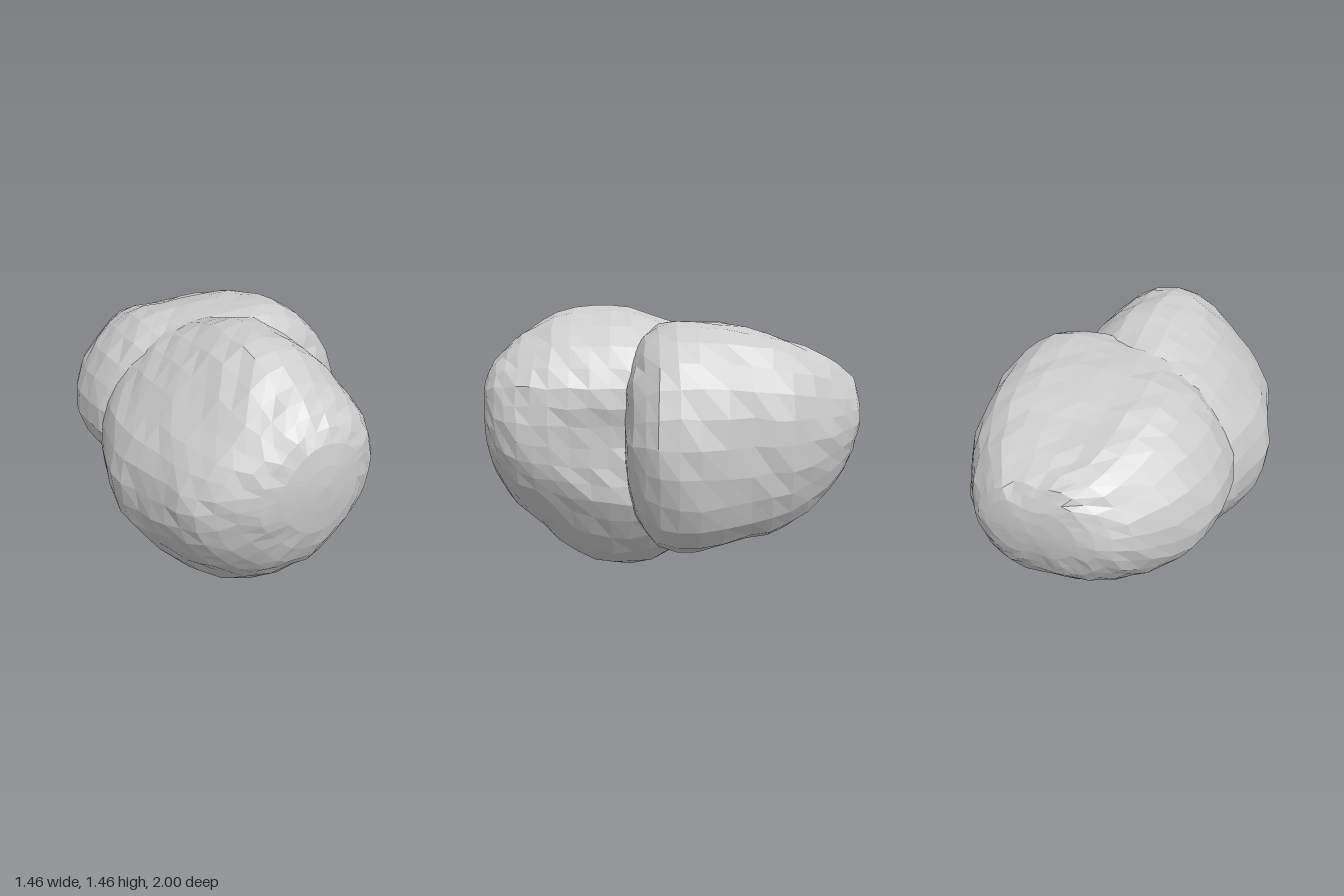
import * as THREE from 'three';

// Double sided, because the lobes are left open where they merge
const material = new THREE.MeshStandardMaterial({
  color: 0xcccccc, flatShading: true, side: THREE.DoubleSide,
});

// Small seeded generator for the uneven facets
function seeded(seed) {
  return () => {
    seed = (seed * 16807) % 2147483647;
    return seed / 2147483647 - 0.5;
  };
}

// Rounded boulder lofted along z.
// Each section: [z, centreX, centreY, radii at 0, 45, 90 ... 315 degrees]
function lobe(name, sections, around, along, seed) {
  const rand = seeded(seed);
  const outlines = sections.map(([z, cx, cy, ...radii]) => {
    const pts = radii.map((r, k) => {
      const a = (k * Math.PI) / 4;
      return new THREE.Vector3(cx + r * Math.cos(a), cy + r * Math.sin(a), z);
    });
    const curve = new THREE.CatmullRomCurve3(pts, true, 'catmullrom', 0.58);
    return Array.from({ length: around }, (_, j) => curve.getPoint(j / around));
  });
  // Smooth lengthwise curve through every column of the outlines
  const columns = outlines[0].map((_, j) =>
    new THREE.CatmullRomCurve3(outlines.map((o) => o[j]), false, 'centripetal'));

  const position = [];
  const index = [];
  for (let i = 0; i <= along; i++) {
    // Facets stay calm towards both tips
    const bump = Math.min(i, along - i) < 3 ? 0 : 0.016;
    for (let j = 0; j < around; j++) {
      const p = columns[j].getPoint(i / along);
      position.push(p.x + rand() * bump, p.y + rand() * bump, p.z + rand() * bump);
    }
  }
  for (let i = 0; i < along; i++) {
    for (let j = 0; j < around; j++) {
      const k = (j + 1) % around;
      const a = i * around + j, b = i * around + k;
      const c = a + around, d = b + around;
      if (i > 0) index.push(a, b, d);
      if (i < along - 1) index.push(a, d, c);
    }
  }
  const geometry = new THREE.BufferGeometry();
  geometry.setAttribute('position', new THREE.Float32BufferAttribute(position, 3));
  geometry.setIndex(index);
  geometry.computeVertexNormals();
  const mesh = new THREE.Mesh(geometry, material);
  mesh.name = name;
  return mesh;
}

// Faces of a mesh that are not buried inside another closed mesh
function exposedFaces(mesh, other) {
  const position = mesh.geometry.attributes.position;
  const direction = new THREE.Vector3(0.31, 0.87, 0.38).normalize();
  const buried = Array.from({ length: position.count }, (_, i) => {
    const origin = new THREE.Vector3().fromBufferAttribute(position, i);
    const hits = new THREE.Raycaster(origin, direction).intersectObject(other);
    return hits.length % 2 === 1;
  });
  const index = mesh.geometry.index.array;
  const kept = [];
  for (let i = 0; i < index.length; i += 3) {
    const face = [index[i], index[i + 1], index[i + 2]];
    if (!face.every((v) => buried[v])) kept.push(...face);
  }
  return kept;
}

export function createModel() {
  // Broad rear lobe, bulging and sagging towards +x where it meets the crevice
  const rear = lobe('rearLobe', [
    [-1.0, 0.06, 0.88, 0, 0, 0, 0, 0, 0, 0, 0],
    [-0.985, 0.06, 0.88, 0.25, 0.21, 0.13, 0.19, 0.23, 0.17, 0.12, 0.19],
    [-0.93, 0.04, 0.86, 0.35, 0.33, 0.25, 0.32, 0.37, 0.29, 0.25, 0.33],
    [-0.8, 0.02, 0.82, 0.48, 0.48, 0.38, 0.45, 0.49, 0.4, 0.37, 0.47],
    [-0.6, 0.02, 0.8, 0.59, 0.6, 0.47, 0.57, 0.63, 0.51, 0.45, 0.61],
    [-0.4, 0.02, 0.8, 0.63, 0.66, 0.54, 0.63, 0.68, 0.54, 0.5, 0.68],
    [-0.15, 0.02, 0.8, 0.7, 0.69, 0.57, 0.63, 0.66, 0.52, 0.54, 0.75],
    [0.05, 0.02, 0.8, 0.7, 0.66, 0.55, 0.54, 0.56, 0.46, 0.52, 0.72],
    [0.17, 0.04, 0.8, 0.57, 0.52, 0.42, 0.4, 0.45, 0.35, 0.38, 0.54],
    [0.22, 0.06, 0.8, 0.36, 0.32, 0.28, 0.25, 0.25, 0.24, 0.24, 0.32],
    [0.23, 0.08, 0.8, 0, 0, 0, 0, 0, 0, 0, 0],
  ], 32, 20, 17);

  // Tall front lobe: narrow head, low shoulder at -x, rounded base, hollow under +x
  const front = lobe('frontLobe', [
    [-0.35, -0.05, 0.75, 0, 0, 0, 0, 0, 0, 0, 0],
    [-0.2, -0.05, 0.75, 0.3, 0.38, 0.54, 0.54, 0.55, 0.5, 0.52, 0.38],
    [0.0, -0.04, 0.75, 0.4, 0.53, 0.63, 0.61, 0.64, 0.63, 0.69, 0.52],
    [0.2, -0.04, 0.75, 0.42, 0.56, 0.69, 0.61, 0.69, 0.68, 0.75, 0.56],
    [0.4, -0.04, 0.75, 0.43, 0.56, 0.7, 0.6, 0.64, 0.65, 0.74, 0.53],
    [0.6, -0.04, 0.76, 0.45, 0.55, 0.66, 0.54, 0.59, 0.57, 0.62, 0.48],
    [0.77, -0.05, 0.78, 0.45, 0.5, 0.53, 0.45, 0.51, 0.47, 0.48, 0.43],
    [0.89, -0.04, 0.82, 0.36, 0.41, 0.39, 0.33, 0.37, 0.34, 0.39, 0.34],
    [0.965, -0.02, 0.87, 0.21, 0.24, 0.22, 0.19, 0.2, 0.21, 0.24, 0.22],
    [0.995, 0, 0.89, 0, 0, 0, 0, 0, 0, 0, 0],
  ], 32, 18, 91);

  // Open the lobes where they run into each other
  const rearFaces = exposedFaces(rear, front);
  const frontFaces = exposedFaces(front, rear);
  rear.geometry.setIndex(rearFaces);
  front.geometry.setIndex(frontFaces);

  const model = new THREE.Group();
  model.name = 'twoLobedRock';
  model.add(rear, front);
  return model;
}
